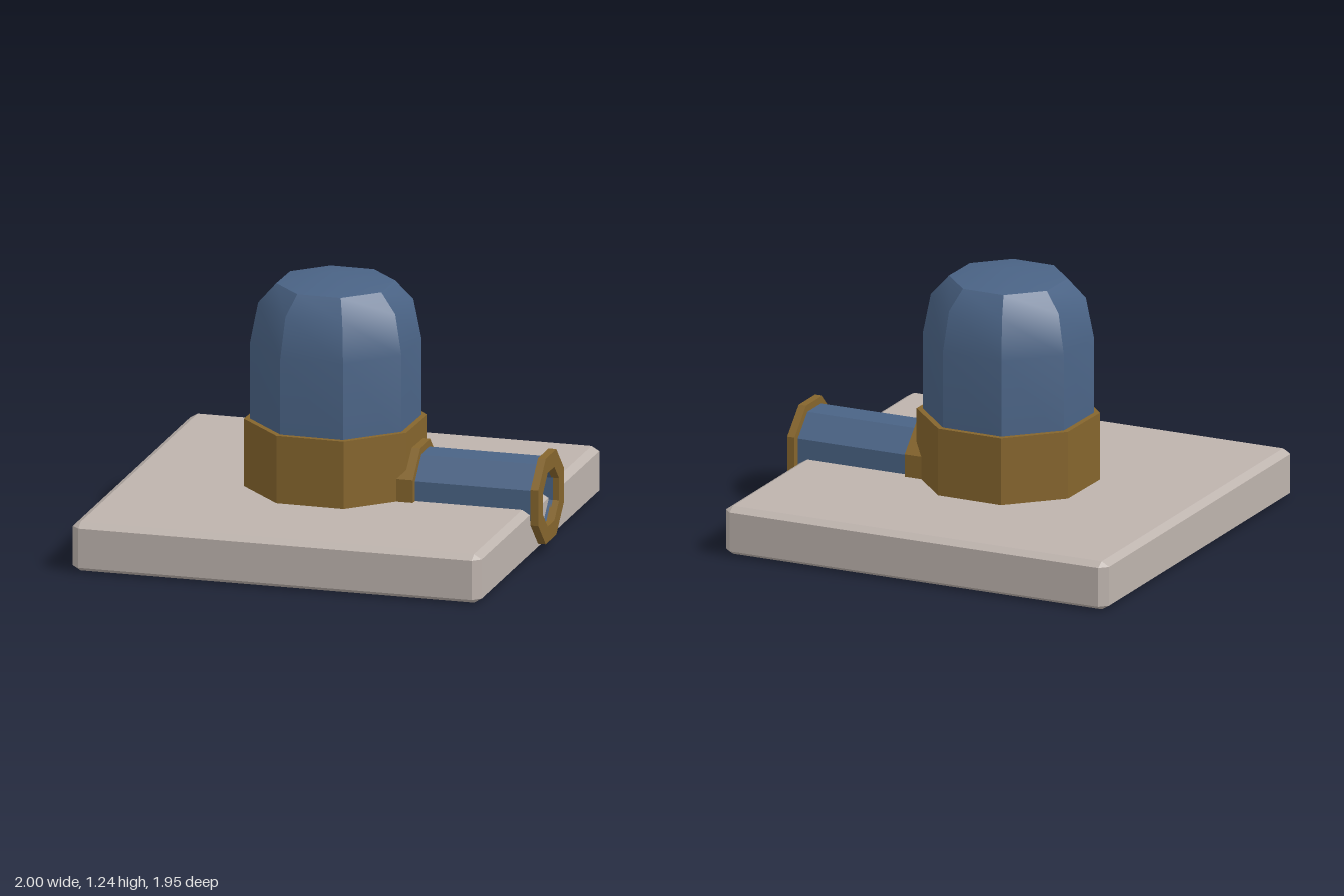
import * as THREE from 'three';
import { toCreasedNormals } from 'three/addons/utils/BufferGeometryUtils.js';
import { ConvexGeometry } from 'three/addons/geometries/ConvexGeometry.js';

const mat = (name, color) => new THREE.MeshStandardMaterial({ name, color });

// Eight-sided turned part from [radius, height] pairs listed bottom to top
function octagonal(profile, crease = 0.3) {
  const pts = profile.map(([r, y]) => new THREE.Vector2(r, y));
  return toCreasedNormals(new THREE.LatheGeometry(pts, 8, Math.PI / 8), crease);
}

// Eight-sided sleeve lying along x, from x0 to x1
function sleeve(inner, outer, x0, x1) {
  const g = octagonal([[inner, x0], [outer, x0], [outer, x1], [inner, x1], [inner, x0]]);
  return g.rotateZ(-Math.PI / 2);
}

// Box with every edge chamfered: hull of three boxes, each inset on two axes
function chamferedBox(half, inset) {
  const pts = [];
  for (let axis = 0; axis < 3; axis++)
    for (const sx of [-1, 1]) for (const sy of [-1, 1]) for (const sz of [-1, 1]) {
      const p = [sx, sy, sz].map((s, i) => s * (half[i] - (i === axis ? 0 : inset[i])));
      pts.push(new THREE.Vector3(...p));
    }
  return new ConvexGeometry(pts);
}

export function createModel() {
  const stone = mat('stone', 0xbdb3ad);
  const brass = mat('brass', 0x85652d);
  const blue = mat('blue steel', 0x4a6385);
  const model = new THREE.Group();
  model.name = 'domedVessel';

  function add(name, geometry, material, x = 0, y = 0, turn = 0) {
    const mesh = new THREE.Mesh(geometry, material);
    mesh.name = name;
    mesh.position.set(x, y, 0);
    mesh.rotation.y = turn;
    model.add(mesh);
  }

  // Base slab
  add('baseSlab', chamferedBox([0.975, 0.115, 0.975], [0.037, 0.022, 0.037]), stone, -0.025, 0.115);

  // Vessel: collar and dome, turned very slightly
  const vesselX = -0.027, turn = -0.018;
  add('collar', octagonal([[0, 0.15], [0.42, 0.15], [0.42, 0.55], [0, 0.55]]), brass, vesselX, 0, turn);
  add('dome', octagonal([[0.392, 0.5], [0.392, 0.91], [0.355, 1.1], [0.272, 1.19], [0, 1.235]], 0.55),
    blue, vesselX, 0, turn);

  // Side pipe with a solid inner flange and an open outer flange
  const pipeY = 0.253;
  add('innerFlange', sleeve(0, 0.22, 0.25, 0.4), brass, 0, pipeY);
  add('pipe', sleeve(0.138, 0.184, 0.39, 0.97), blue, 0, pipeY);
  add('outerFlange', sleeve(0.138, 0.22, 0.963, 1), brass, 0, pipeY);

  return model;
}
